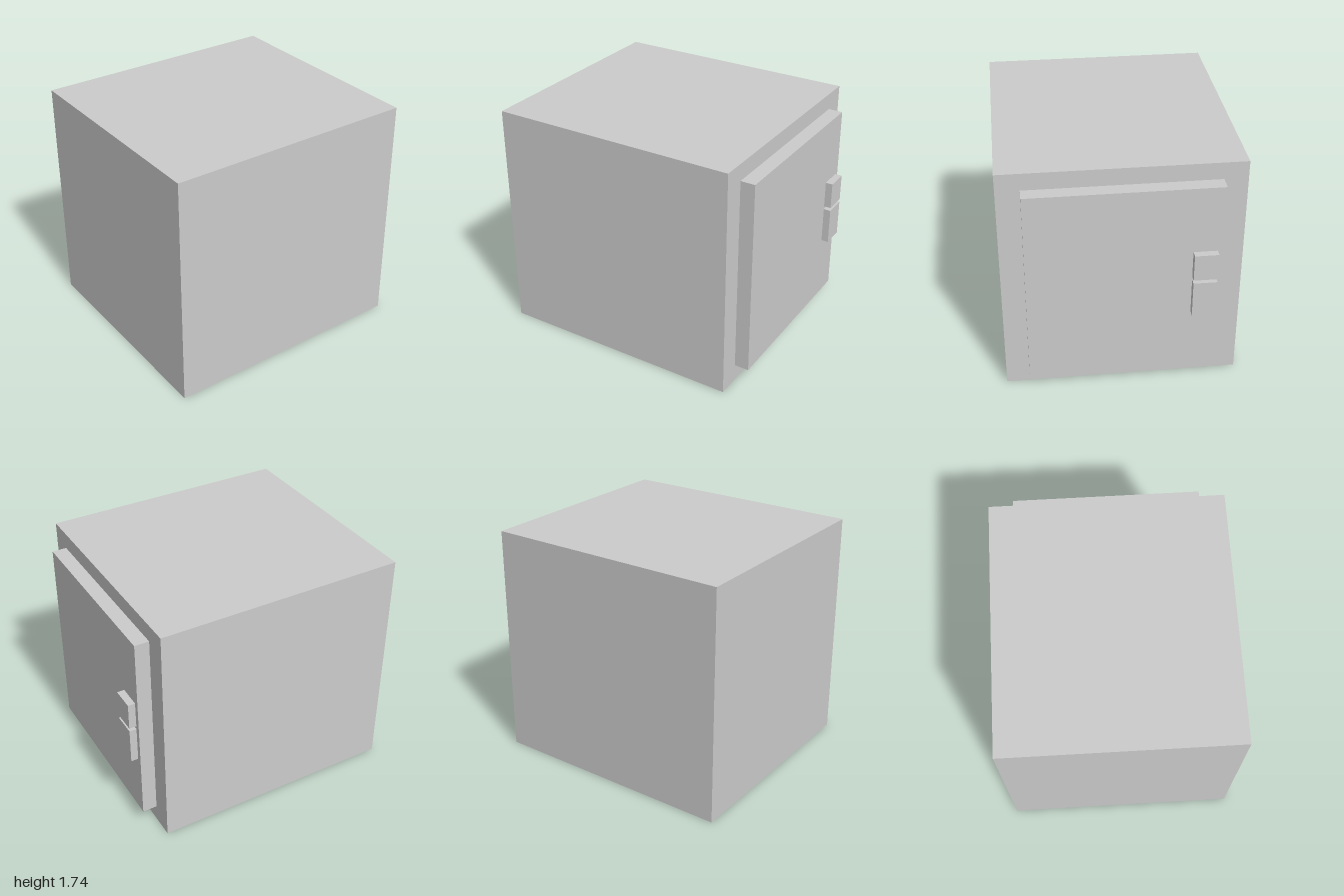
import * as THREE from 'three';

const material = new THREE.MeshStandardMaterial({ color: 0xcccccc, flatShading: true });

// Box given by its extents along each axis
function block(name, [x0, x1], [y0, y1], [z0, z1]) {
  const mesh = new THREE.Mesh(new THREE.BoxGeometry(x1 - x0, y1 - y0, z1 - z0), material);
  mesh.name = name;
  mesh.position.set((x0 + x1) / 2, (y0 + y1) / 2, (z0 + z1) / 2);
  return mesh;
}

export function createModel() {
  const model = new THREE.Group();
  model.name = 'safe';

  // Cabinet with a raised door on its +x side
  model.add(block('cabinet', [-1, 0.84], [0, 1.735], [-0.843, 0.843]));
  model.add(block('door', [0.84, 0.947], [0.128, 1.61], [-0.677, 0.677]));

  // Keypad and handle plates near the door's edge
  const plateZ = [-0.64, -0.472];
  model.add(block('keypad', [0.947, 1], [0.913, 1.113], plateZ));
  model.add(block('handle', [0.947, 1], [0.615, 0.888], plateZ));

  return model;
}
